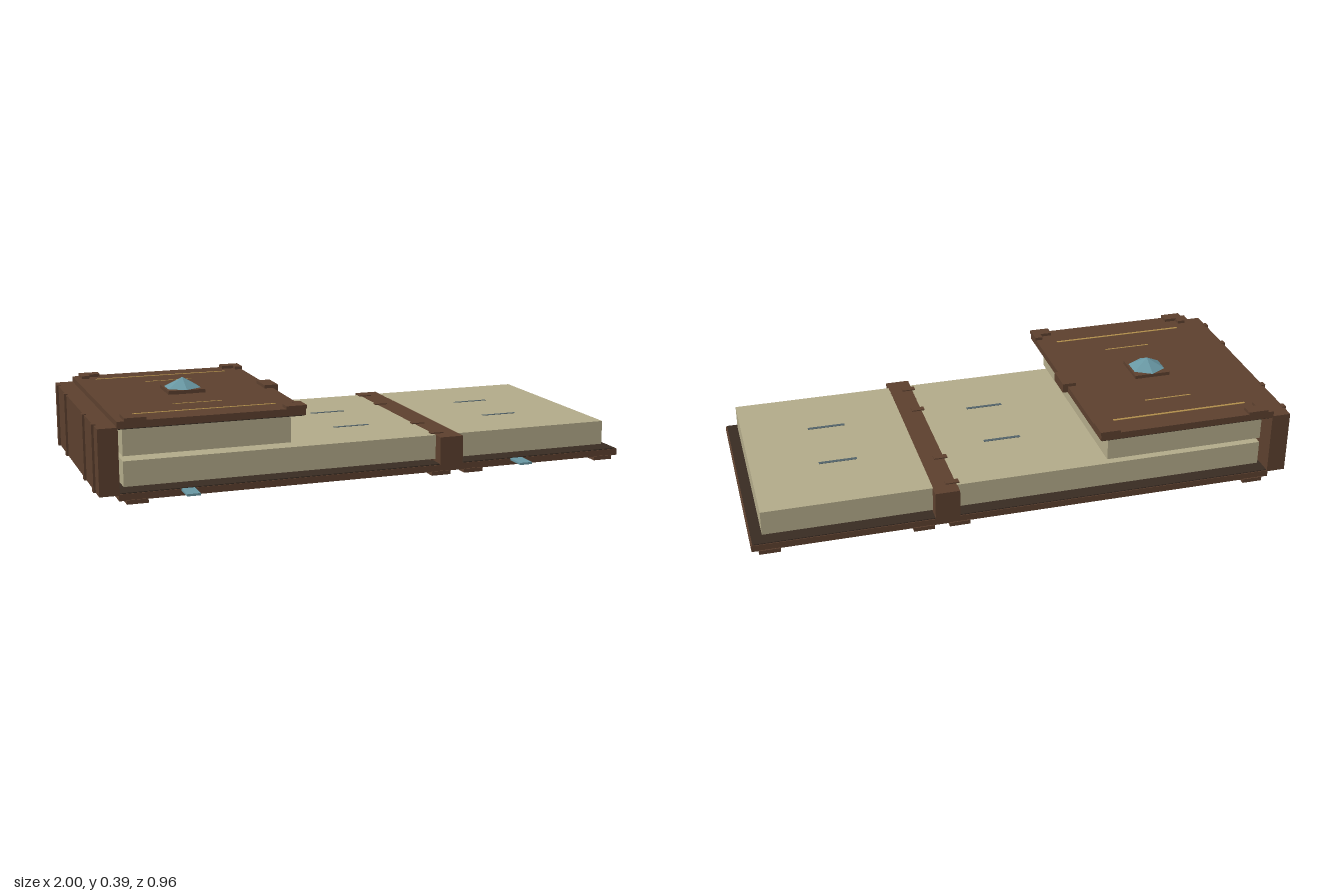
import * as THREE from 'three';

const mat = (name, color, extra = {}) => {
  const m = new THREE.MeshStandardMaterial({ color, ...extra });
  m.name = name;
  return m;
};

export function createModel() {
  const leather = mat('brown leather', 0x5c402e);
  const lining = mat('dark lining', 0x382b22);
  const paper = mat('aged paper', 0xb2aa89);
  const teal = mat('teal', 0x6897a3, { flatShading: true });
  const ink = mat('slate ink', 0x526268);
  const gold = mat('gold', 0xb08d4a);

  const book = new THREE.Group();
  book.name = 'openBook';

  // Box given by its limits on each axis
  const box = (name, m, x0, x1, y0, y1, z0, z1) => {
    const mesh = new THREE.Mesh(new THREE.BoxGeometry(x1 - x0, y1 - y0, z1 - z0), m);
    mesh.position.set((x0 + x1) / 2, (y0 + y1) / 2, (z0 + z1) / 2);
    mesh.name = name;
    book.add(mesh);
    return mesh;
  };
  const zB = -0.475, zF = 0.4, zMid = -0.037;

  // Covers with dark inner faces
  box('bottomCover', leather, -0.925, 1, 0.06, 0.084, zB, zF);
  box('bottomLining', lining, -0.92, 0.995, 0.084, 0.087, zB + 0.003, zF - 0.003);
  box('topCover', leather, -0.925, -0.258, 0.31, 0.335, zB, zF);
  box('topLining', lining, -0.92, -0.262, 0.307, 0.31, zB + 0.003, zF - 0.003);

  // Spine and second hinge strip
  box('spine', leather, -0.992, -0.922, 0.08, 0.315, zB, zF);
  box('hingeStrip', leather, 0.26, 0.35, 0.06, 0.187, zB, zF);
  for (const z of [-0.41, -0.23, 0.15, 0.325]) {
    box('spineBand', leather, -1, -0.985, 0.08, 0.318, z - 0.012, z + 0.012);
    box('hingeBand', leather, 0.25, 0.3, 0.06, 0.191, z - 0.012, z + 0.012);
  }

  // Page blocks, slightly clear of the covers
  box('upperPages', paper, -0.9, -0.3, 0.205, 0.299, -0.433, 0.357);
  box('lowerPages', paper, -0.9, 0.262, 0.097, 0.187, -0.433, 0.357);
  box('rightPages', paper, 0.348, 0.957, 0.097, 0.187, -0.433, 0.357);

  // L-shaped corner guards; sx and sz point towards the corner
  const corner = (x, sx, sz, y0, y1) => {
    const z = sz > 0 ? zF + 0.004 : zB - 0.004;
    const span = (a, d) => [Math.min(a, a - d), Math.max(a, a - d)];
    box('cornerLong', leather, ...span(x, sx * 0.075), y0, y1, ...span(z, sz * 0.045));
    box('cornerShort', leather, ...span(x, sx * 0.03), y0, y1, ...span(z, sz * 0.075));
  };
  for (const sz of [-1, 1]) {
    corner(-0.9, -1, sz, 0.333, 0.346);
    corner(-0.255, 1, sz, 0.333, 0.346);
    for (const [x, sx] of [[-0.9, -1], [0.3, 1], [0.355, -1], [0.975, 1]]) corner(x, sx, sz, 0.047, 0.062);
  }

  // Clasp on the cover edge and its catch underneath
  box('clasp', leather, -0.29, -0.238, 0.312, 0.347, -0.09, 0.015);
  box('claspCatch', leather, -0.36, -0.27, 0.046, 0.062, -0.09, 0.015);

  // Mounted hexagonal gems, above and below
  const gem = (x, y, up) => {
    const g = new THREE.Group();
    g.name = up ? 'topGem' : 'bottomGem';
    const plate = new THREE.Mesh(new THREE.BoxGeometry(0.138, 0.013, 0.138), leather);
    plate.name = 'gemPlate';
    plate.position.y = 0.01;
    const cone = new THREE.Mesh(new THREE.ConeGeometry(0.07, 0.037, 6), teal);
    cone.name = 'gemStone';
    cone.position.y = 0.035;
    g.add(plate, cone);
    g.position.set(x, y, zMid);
    if (!up) g.rotation.x = Math.PI;
    book.add(g);
  };
  gem(-0.592, 0.336, true);
  box('gemMount', leather, -0.642, -0.542, 0.33, 0.342, -0.087, 0.013);
  gem(-0.007, 0.054, false);
  box('gemMount', leather, -0.057, 0.043, 0.05, 0.062, -0.087, 0.013);

  // Ribbon bookmarks
  for (const x of [-0.685, 0.57]) box('bookmark', teal, x - 0.024, x + 0.024, 0.077, 0.085, 0.3, 0.478);

  // Gold lines on the cover
  for (const z of [-0.383, 0.293]) box('goldLine', gold, -0.85, -0.335, 0.334, 0.336, z - 0.005, z + 0.005);
  for (const z of [-0.27, 0.175]) box('goldLine', gold, -0.68, -0.5, 0.334, 0.336, z - 0.003, z + 0.003);

  // Ink marks on the pages
  for (const x of [0.02, 0.64]) {
    for (const z of [-0.156, 0.108]) box('inkMark', ink, x - 0.07, x + 0.07, 0.186, 0.188, z - 0.007, z + 0.007);
  }
  return book;
}
